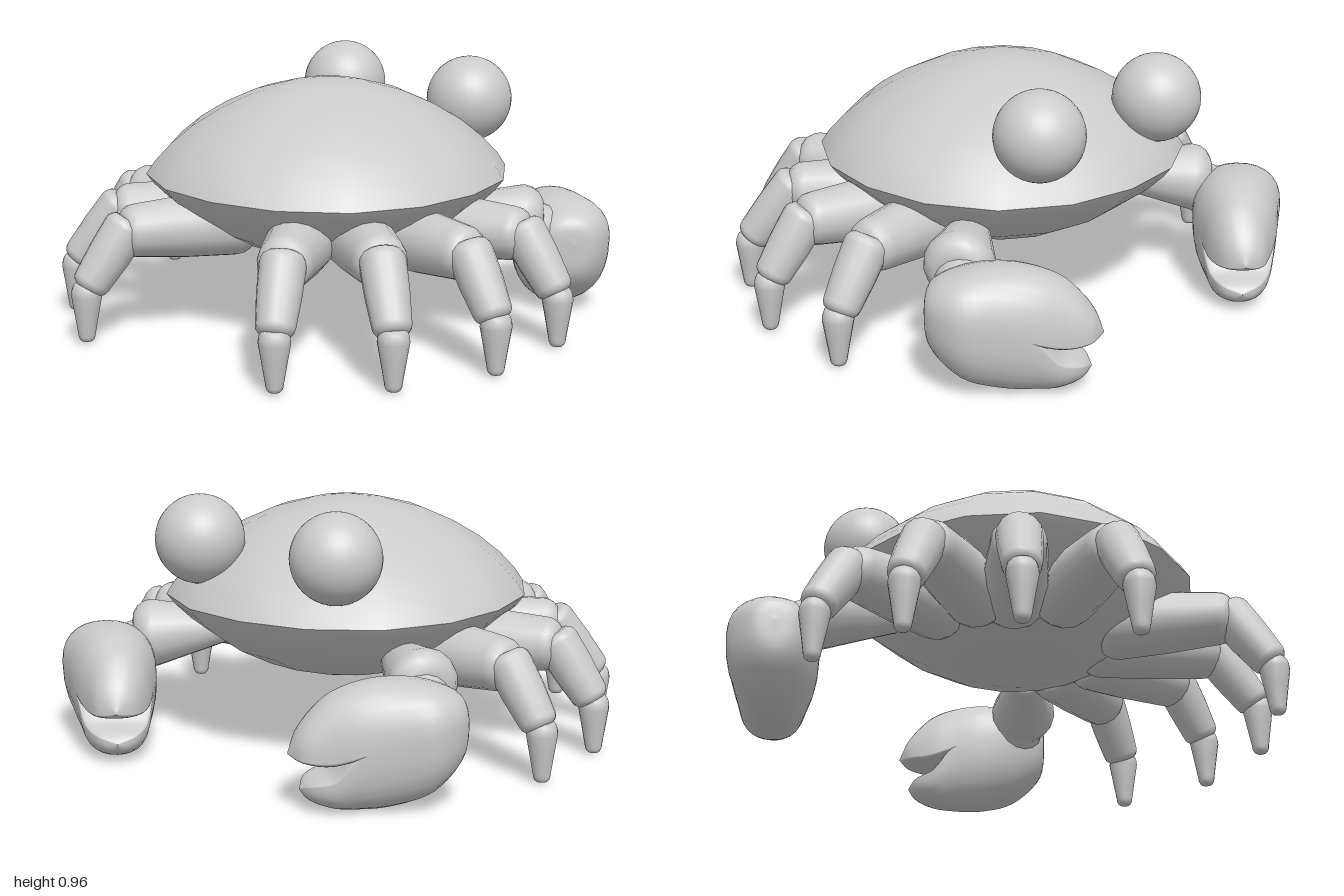
import * as THREE from 'three';

const V = (x, y, z) => new THREE.Vector3(x, y, z);
const grey = new THREE.MeshStandardMaterial({ color: 0xcccccc, side: THREE.DoubleSide });

function add(parent, name, geometry) {
  const mesh = new THREE.Mesh(geometry, grey);
  mesh.name = name;
  parent.add(mesh);
  return mesh;
}

const lathe = (pts, sides) =>
  new THREE.LatheGeometry(pts.map(([r, y]) => new THREE.Vector2(r, y)), sides);

// Body half: a lathe slightly fuller on the diagonals than on the axes
function bodyHalf(pts) {
  const g = lathe(pts, 16), p = g.attributes.position;
  for (let i = 0; i < p.count; i++) {
    const x = p.getX(i), z = p.getZ(i);
    const k = 1 + 0.03 * Math.sin(2 * Math.atan2(x, z)) ** 2;
    p.setXYZ(i, x * k, p.getY(i), z * k);
  }
  return g;
}

// Tapered limb segment with rounded ends, running from a to b
function limb(parent, name, a, b, r0, r1, round) {
  const dir = b.clone().sub(a), len = dir.length();
  const c0 = r0 * round, c1 = r1 * round;
  const pts = [[0, 0]];
  for (const t of [0.25, 0.5, 0.75, 1]) {
    const k = t * Math.PI / 2;
    pts.push([r0 * (0.55 + 0.45 * Math.sin(k)), c0 * (1 - Math.cos(k))]);
  }
  pts.push([(r0 + r1) / 2 * 1.04, len / 2]);
  for (const t of [0, 0.25, 0.5, 0.75, 1]) {
    const k = t * Math.PI / 2;
    pts.push([r1 * (0.45 + 0.55 * Math.cos(k)), len - c1 + c1 * Math.sin(k)]);
  }
  pts.push([0, len]);
  const mesh = add(parent, name, lathe(pts, 16));
  mesh.position.copy(a);
  mesh.quaternion.setFromUnitVectors(V(0, 1, 0), dir.normalize());
}

// Claw finger rows: distance along claw, sideways centre, half width, biting edge y, outer y
const upperFinger = [
  [-0.03, 0.05, 0, 0.30, 0.30], [-0.015, 0.045, 0.09, 0.30, 0.385],
  [0.10, 0.045, 0.165, 0.293, 0.443], [0.24, 0.02, 0.165, 0.268, 0.455],
  [0.36, 0.01, 0.142, 0.228, 0.437], [0.45, 0.0, 0.115, 0.20, 0.395],
  [0.54, 0.0, 0.07, 0.20, 0.30], [0.58, 0.0, 0, 0.21, 0.215],
];
const lowerFinger = [
  [-0.03, 0.05, 0, 0.30, 0.30], [-0.015, 0.045, 0.09, 0.30, 0.17],
  [0.10, 0.045, 0.165, 0.293, 0.055], [0.24, 0.02, 0.165, 0.268, 0.008],
  [0.36, 0.01, 0.142, 0.218, 0.004], [0.44, 0.005, 0.115, 0.13, 0.015],
  [0.51, 0.0, 0.07, 0.105, 0.045], [0.54, 0.0, 0, 0.085, 0.08],
];

function fingerGeometry(rows, s, flip) {
  const plan = new THREE.CatmullRomCurve3(rows.map(r => V(r[0], r[1], r[2])));
  const side = new THREE.CatmullRomCurve3(rows.map(r => V(r[0], r[3], r[4])));
  const N = 35, M = 28, pos = [], idx = [];
  for (let i = 0; i <= N; i++) {
    const p = plan.getPoint(i / N), q = side.getPoint(i / N);
    // full outer arc, shallow rounded biting face
    for (let j = 0; j < M; j++) {
      const t = 2 * Math.PI * j / M, c = Math.cos(t), h = Math.sin(t);
      const n = p.y + p.z * Math.sign(c) * Math.abs(c) ** 0.9;
      const y = q.y + (q.z - q.y) * (h > 0 ? h ** 0.85 : 0.15 * h);
      pos.push(s * (0.76 - 0.65 * p.x + 0.76 * n), y, -0.46 - 0.76 * p.x - 0.65 * n);
    }
  }
  for (let i = 0; i < N; i++) {
    for (let j = 0; j < M; j++) {
      const a = i * M + j, b = i * M + (j + 1) % M, c = a + M, d = b + M;
      if (flip) idx.push(a, b, c, b, d, c);
      else idx.push(a, c, b, b, c, d);
    }
  }
  const g = new THREE.BufferGeometry();
  g.setAttribute('position', new THREE.Float32BufferAttribute(pos, 3));
  g.setIndex(idx);
  g.computeVertexNormals();
  return g;
}

// Legs: root, knee and foot as [x, z]
const legs = [
  [[0.30, -0.06], [0.79, -0.14], [0.94, -0.15]],
  [[0.30, 0.09], [0.79, 0.21], [0.935, 0.25]],
  [[0.22, 0.16], [0.62, 0.49], [0.755, 0.605]],
  [[0.14, 0.29], [0.37, 0.72], [0.445, 0.86]],
];

export function createModel() {
  const crab = new THREE.Group();
  crab.name = 'crab';

  // Body: domed shell over a shallower belly
  add(crab, 'upperShell', bodyHalf([[0.67, 0.565], [0.64, 0.612], [0.58, 0.678], [0.5, 0.745],
    [0.4, 0.808], [0.28, 0.864], [0.15, 0.9], [0.07, 0.912], [0, 0.915]]));
  add(crab, 'belly', bodyHalf([[0, 0.25], [0.09, 0.253], [0.19, 0.266], [0.33, 0.307],
    [0.46, 0.375], [0.58, 0.465], [0.64, 0.525], [0.67, 0.565]]));

  for (const s of [1, -1]) {
    const label = s > 0 ? 'left' : 'right';

    add(crab, label + 'Eye', new THREE.SphereGeometry(0.165, 32, 24))
      .position.set(s * 0.305, 0.8, -0.505);

    // Walking legs: thigh, shin and pointed foot
    legs.forEach(([r, k, f], i) => {
      const leg = new THREE.Group();
      leg.name = label + 'Leg' + (i + 1);
      crab.add(leg);
      const dx = f[0] - k[0], dz = f[1] - k[1];
      const at = (p, y, t = 0) => V(s * (p[0] + dx * t), y, p[1] + dz * t);
      limb(leg, 'thigh', at(r, 0.40), at(k, 0.41, 0.15), 0.125, 0.1, 0.6);
      limb(leg, 'shin', at(k, 0.45, -0.1), at(f, 0.205), 0.083, 0.07, 0.5);
      limb(leg, 'foot', at(f, 0.235), at(f, 0.01, 0.03), 0.057, 0.032, 0.9);
    });

    // Front arm and claw
    const arm = new THREE.Group();
    arm.name = label + 'ClawArm';
    crab.add(arm);
    limb(arm, 'upperArm', V(s * 0.38, 0.41, -0.24), V(s * 0.67, 0.375, -0.47), 0.07, 0.13, 0.6);
    limb(arm, 'wrist', V(s * 0.6, 0.37, -0.41), V(s * 0.70, 0.29, -0.56), 0.1, 0.1, 0.6);
    add(arm, 'upperPincer', fingerGeometry(upperFinger, s, s < 0));
    add(arm, 'lowerPincer', fingerGeometry(lowerFinger, s, s > 0));
  }
  return crab;
}
